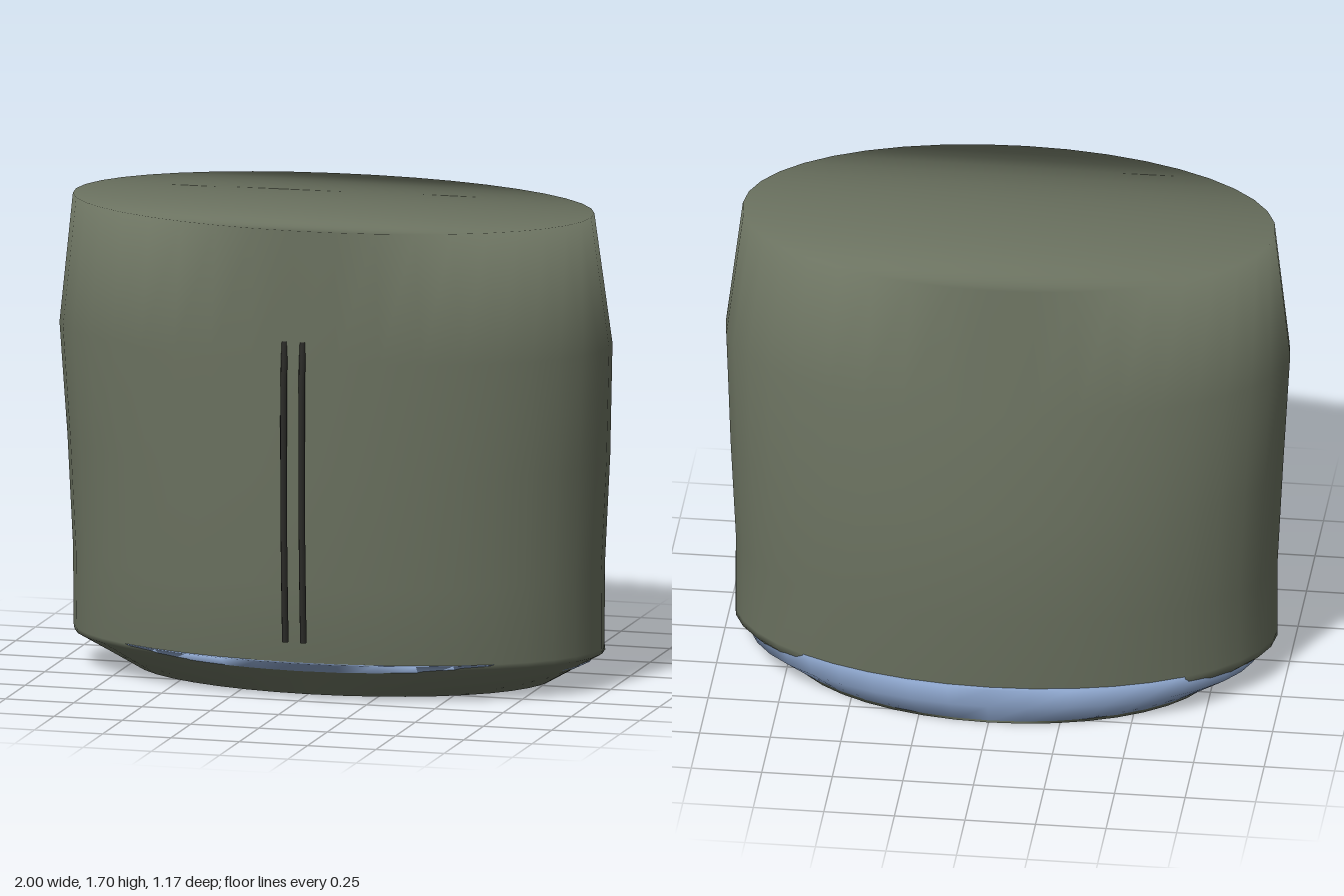
import * as THREE from 'three';

const N = 40; // sides of each oval ring

// Lofts oval rings [y, halfWidth, frontZ, backZ] into a closed, smooth solid.
function loft(rings) {
  const pos = [], idx = [];
  for (const [y, a, front, back] of rings) {
    for (let k = 0; k < N; k++) {
      const t = (2 * Math.PI * k) / N;
      pos.push(a * Math.cos(t), y, (front + back) / 2 + ((front - back) / 2) * Math.sin(t));
    }
  }
  const id = (i, k) => i * N + ((k + N) % N);
  for (let i = 0; i < rings.length - 1; i++) {
    for (let k = 0; k < N; k++) {
      const a = id(i, k), b = id(i, k + 1), c = id(i + 1, k), d = id(i + 1, k + 1);
      idx.push(a, c, b, b, c, d);
    }
  }
  // flat end caps, filled in rows running from side to side
  const top = rings.length - 1;
  for (let k = -N / 4; k < N / 4; k++) {
    for (const i of [0, top]) {
      const r = id(i, k), l = id(i, N / 2 - k), r2 = id(i, k + 1), l2 = id(i, N / 2 - k - 1);
      const tri = (a, b, c) => (i === top ? idx.push(a, b, c) : idx.push(a, c, b));
      if (l !== r) tri(l, l2, r);
      if (l2 !== r2) tri(r, l2, r2);
    }
  }
  const g = new THREE.BufferGeometry();
  g.setAttribute('position', new THREE.Float32BufferAttribute(pos, 3));
  g.setIndex(idx);
  g.computeVertexNormals();
  return g;
}

export function createModel() {
  const group = new THREE.Group();
  const mat = (name, color) => {
    const m = new THREE.MeshStandardMaterial({ color });
    m.name = name;
    return m;
  };
  const olive = mat('olive cloth', 0x6b7260);
  const blue = mat('pale blue', 0x8aa2c8);
  const dark = mat('dark cord', 0x2b2b28);
  const add = (name, geometry, material) => {
    const mesh = new THREE.Mesh(geometry, material);
    mesh.name = name;
    group.add(mesh);
    return mesh;
  };

  // main oval body, leaning in at the upper back
  add('body', loft([
    [0, 0.755, 0.375, -0.555],
    [0.12, 0.96, 0.49, -0.55],
    [0.14, 0.96, 0.51, -0.55],
    [0.42, 0.96, 0.54, -0.575],
    [0.82, 0.98, 0.55, -0.583],
    [1.23, 1.0, 0.565, -0.525],
    [1.7, 0.943, 0.565, -0.465],
  ]), olive);

  // blue lining that shows around the lower back and in a sliver at the front
  add('lowerBand', loft([
    [0.002, 0.745, 0.37, -0.552],
    [0.08, 0.902, 0.44, -0.585],
    [0.14, 0.93, 0.53, -0.57],
  ]), blue);

  // pair of cords down the middle of the front
  for (const side of [-1, 1]) {
    const x = 0.033 * side;
    const path = new THREE.CatmullRomCurve3([
      [0.22, 0.55], [0.45, 0.562], [0.67, 0.57], [1.08, 0.572], [1.2, 0.567], [1.3, 0.556],
    ].map(([y, z]) => new THREE.Vector3(x, y, z)));
    add(side > 0 ? 'leftCord' : 'rightCord', new THREE.TubeGeometry(path, 20, 0.012, 8), dark);
    for (const [y, z, dir] of [[0.22, 0.55, 1], [1.3, 0.556, -1]]) {
      const end = add('cordEnd', new THREE.CircleGeometry(0.012, 8), dark);
      end.position.set(x, y, z);
      end.rotation.x = (dir * Math.PI) / 2;
    }
  }
  return group;
}
